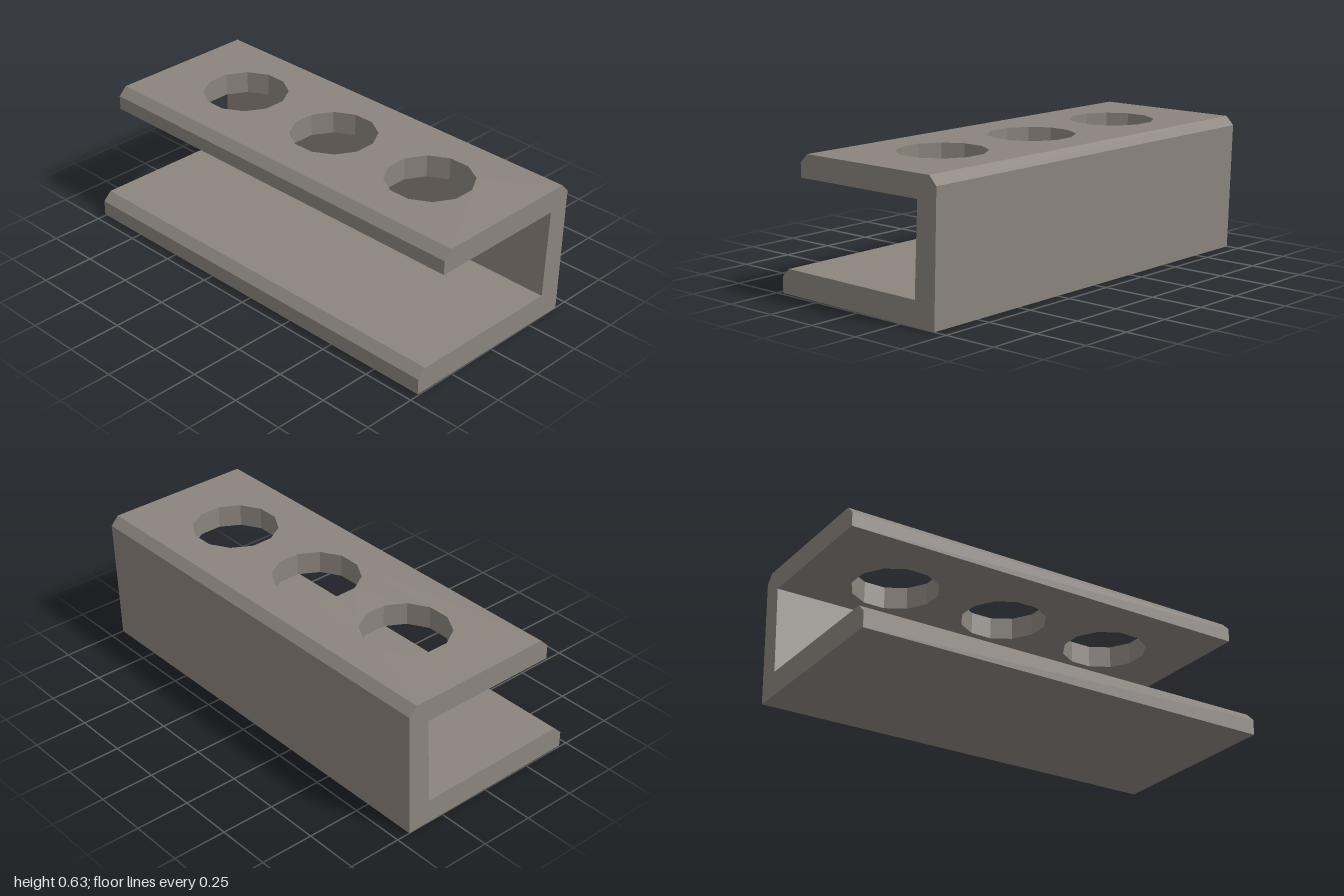
import * as THREE from 'three';

const HALF = 1;
const DECK_TOP = 0.628, DECK_UNDER = 0.524;

// Side profile as [z, y], from the lower front edge around the channel
const PROFILE = [
  [0.457, 0.008], [0.457, 0.081], [0.417, 0.12], [-0.33, 0.115],
  [-0.35, DECK_UNDER], [0.325, DECK_UNDER], [0.325, 0.589], [0.285, DECK_TOP],
  [-0.417, DECK_TOP], [-0.455, 0.588], [-0.436, 0.002],
];

// Flat-sided surface from quads with corners in counter-clockwise order
function quads(list) {
  const pos = [];
  for (const [a, b, c, d] of list) pos.push(...a, ...b, ...c, ...a, ...c, ...d);
  const g = new THREE.BufferGeometry();
  g.setAttribute('position', new THREE.Float32BufferAttribute(pos, 3));
  g.computeVertexNormals();
  return g;
}

const outline = (pts) => new THREE.Shape(pts.map(([x, y]) => new THREE.Vector2(x, y)));

export function createModel() {
  const group = new THREE.Group();
  const metal = new THREE.MeshStandardMaterial({ color: 0x8c857e, flatShading: true });
  metal.name = 'warm grey';
  const add = (name, geometry) => {
    const mesh = new THREE.Mesh(geometry, metal);
    mesh.name = name;
    group.add(mesh);
  };

  // Long faces of the channel, leaving out the two pierced deck faces
  const strips = [];
  PROFILE.forEach(([z0, y0], i) => {
    if (i === 4 || i === 7) return;
    const [z1, y1] = PROFILE[(i + 1) % PROFILE.length];
    strips.push([[-HALF, y0, z0], [HALF, y0, z0], [HALF, y1, z1], [-HALF, y1, z1]]);
  });
  add('channelBody', quads(strips));

  // End faces
  for (const side of [-1, 1]) {
    const end = new THREE.ShapeGeometry(outline(PROFILE.map(([z, y]) => [-side * z, y])));
    end.rotateY(side * Math.PI / 2).translate(side * HALF, 0, 0);
    add(side < 0 ? 'rightEnd' : 'leftEnd', end);
  }

  // Three twelve-sided holes as [x, z] loops, with flats along both axes
  const radius = 0.19 / Math.cos(Math.PI / 12);
  const holes = [-0.567, 0, 0.567].map((cx) => Array.from({ length: 12 }, (_, i) => {
    const a = (i + 0.5) * Math.PI / 6;
    return [cx + radius * Math.cos(a), -0.07 + radius * Math.sin(a)];
  }));

  // Pierced upper and lower deck faces
  const deck = (name, y, zBack, zFront, dir) => {
    const flip = ([x, z]) => [x, -dir * z];
    const shape = outline([[-HALF, zBack], [HALF, zBack], [HALF, zFront], [-HALF, zFront]].map(flip));
    shape.holes = holes.map((h) => outline(h.map(flip)));
    add(name, new THREE.ShapeGeometry(shape).rotateX(-dir * Math.PI / 2).translate(0, y, 0));
  };
  deck('deckTop', DECK_TOP, -0.417, 0.285, 1);
  deck('deckUnderside', DECK_UNDER, -0.35, 0.325, -1);

  // Inner walls of the holes
  holes.forEach((loop, n) => {
    add('holeWall' + (n + 1), quads(loop.map(([x0, z0], i) => {
      const [x1, z1] = loop[(i + 1) % loop.length];
      return [[x0, DECK_UNDER, z0], [x1, DECK_UNDER, z1], [x1, DECK_TOP, z1], [x0, DECK_TOP, z0]];
    })));
  });

  return group;
}
